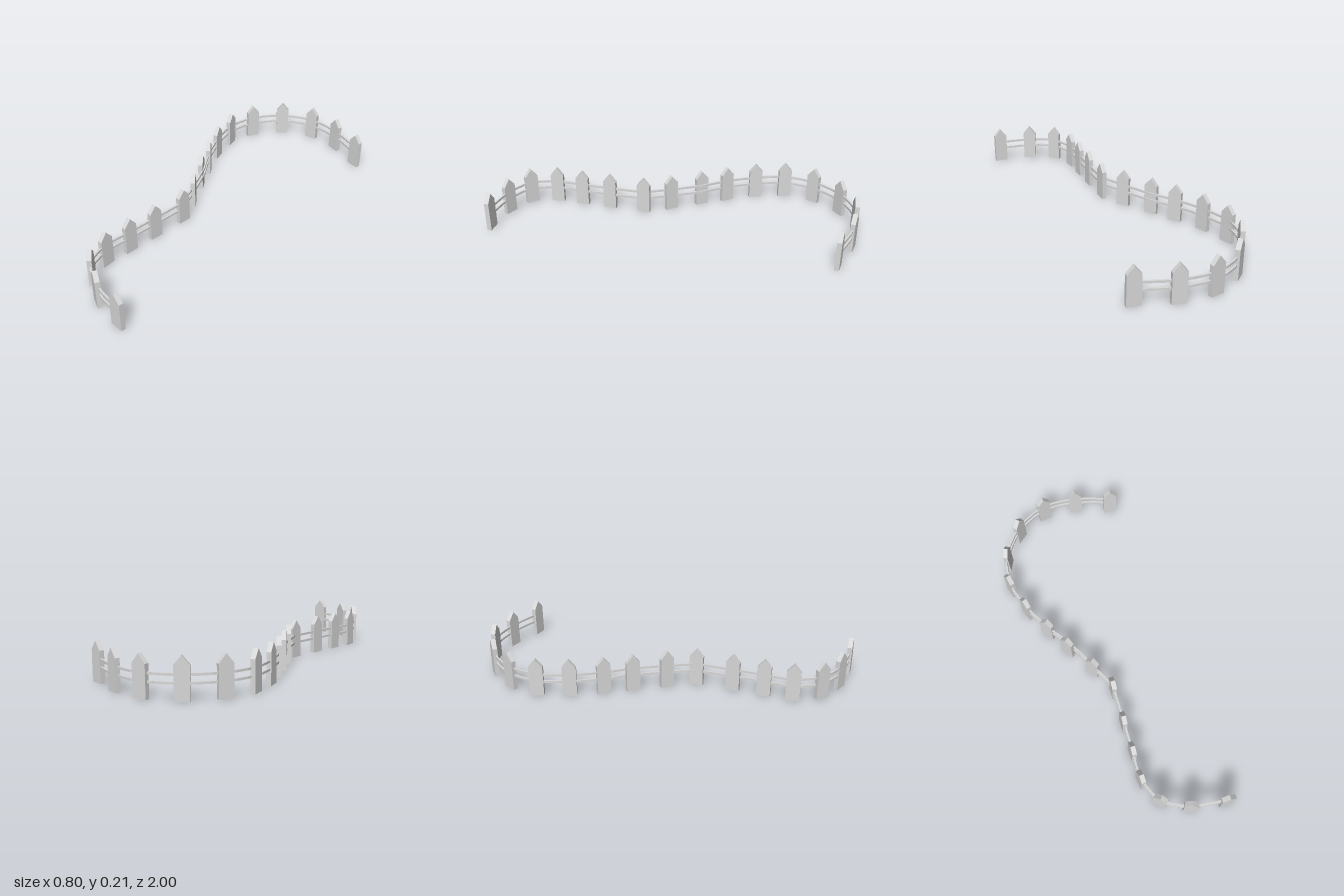
import * as THREE from 'three';

// Picket stations along the fence: x, z, heading in degrees, lift above ground
const STATIONS = [
  [0.357, -0.866, 16, 0], [0.173, -0.954, 20, 0], [-0.014, -0.986, -2, 0],
  [-0.197, -0.923, -33, 0], [-0.33, -0.785, -57, 0], [-0.384, -0.622, 81, 0],
  [-0.36, -0.452, 78, 0], [-0.302, -0.286, 58, 0], [-0.246, -0.142, 61, 0],
  [-0.172, 0.025, 57, 0], [-0.124, 0.178, 98, 0], [-0.156, 0.374, 100, 0],
  [-0.184, 0.538, 98, 0], [-0.209, 0.688, 92, 0], [-0.169, 0.833, 53, 0.007],
  [-0.041, 0.928, 32, 0.007], [0.14, 0.981, 9, 0.007],
];
const WIDTH = 0.073, THICK = 0.025, SHOULDER = 0.162, HEIGHT = 0.206;
const RAIL_HEIGHTS = [0.08, 0.119];

// Pointed board, standing on its base and centred on its thickness
function picketGeometry() {
  const w = WIDTH / 2;
  const shape = new THREE.Shape([
    new THREE.Vector2(-w, 0), new THREE.Vector2(w, 0), new THREE.Vector2(w, SHOULDER),
    new THREE.Vector2(0, HEIGHT), new THREE.Vector2(-w, SHOULDER),
  ]);
  const geo = new THREE.ExtrudeGeometry(shape, { depth: THICK, bevelEnabled: false });
  return geo.translate(0, 0, -THICK / 2);
}

export function createModel() {
  const fence = new THREE.Group();
  fence.name = 'picketFence';
  const paint = new THREE.MeshStandardMaterial({ color: 0xd8d8d8 });
  paint.name = 'paleGrey';

  // Pickets
  const board = picketGeometry();
  STATIONS.forEach(([x, z, deg, lift], i) => {
    const picket = new THREE.Mesh(board, paint);
    picket.name = `picket${i + 1}`;
    picket.position.set(x, lift, z);
    picket.rotation.y = -THREE.MathUtils.degToRad(deg);
    fence.add(picket);
  });

  // Rails run in three stretches that meet at the bends
  const point = ([x, z, , lift]) => new THREE.Vector3(x, lift, z);
  const joint = new THREE.Vector3(-0.232, 0, -0.15);
  const stretches = [
    [...STATIONS.slice(0, 8).map(point), joint],
    [joint, ...STATIONS.slice(9, 11).map(point)],
    STATIONS.slice(10).map(point),
  ];
  const unitRail = new THREE.BoxGeometry(0.01, 0.012, 1);
  for (const points of stretches) {
    const curve = new THREE.CatmullRomCurve3(points);
    const samples = curve.getPoints((points.length - 1) * 3);
    for (const height of RAIL_HEIGHTS) {
      for (let i = 1; i < samples.length; i++) {
        const a = samples[i - 1], b = samples[i];
        const rail = new THREE.Mesh(unitRail, paint);
        rail.name = height > 0.1 ? 'upperRail' : 'lowerRail';
        rail.position.copy(a).add(b).multiplyScalar(0.5);
        rail.lookAt(b);
        rail.position.y += height;
        rail.scale.z = a.distanceTo(b) + 0.002;
        fence.add(rail);
      }
    }
  }
  return fence;
}
